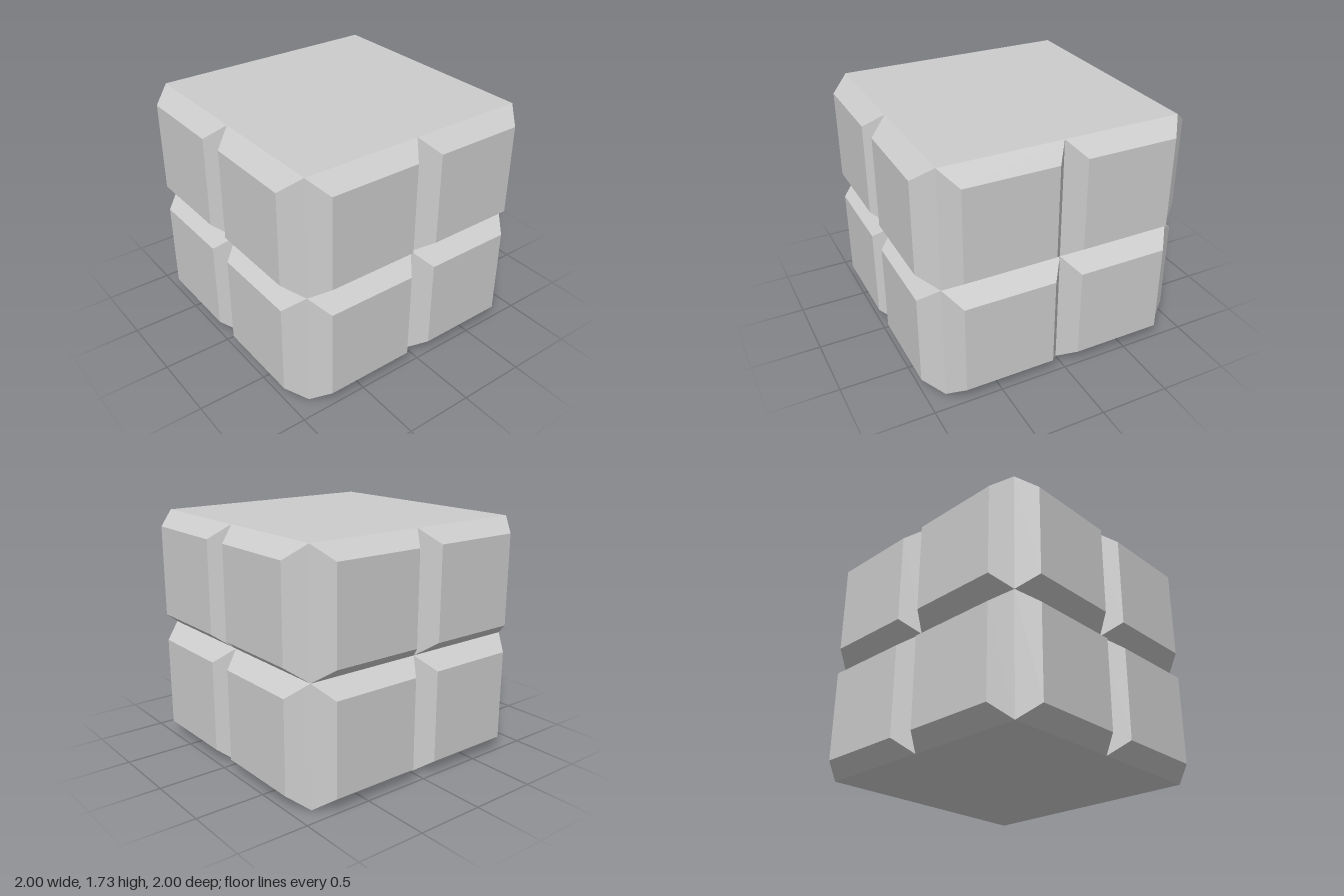
import * as THREE from 'three';

const HALF = 0.867;   // half width of the core block, also the width of one panel
const DEPTH = 0.133;  // how far a panel stands out
const BEVEL = 0.101;  // inset of a panel's flat face from its base edge

export function createModel() {
  const model = new THREE.Group();
  model.name = 'panelledBlock';
  const material = new THREE.MeshStandardMaterial({ color: 0xcccccc, flatShading: true });

  // Plain core block, flat on top and underneath
  const core = new THREE.Mesh(new THREE.BoxGeometry(2 * HALF, 2 * HALF, 2 * HALF), material);
  core.name = 'core';
  core.position.y = HALF;
  model.add(core);

  // Bevelled panel: a four-sided frustum with its base on z = 0, facing +z
  const panelGeometry = new THREE.CylinderGeometry(
    (HALF / 2 - BEVEL) * Math.SQRT2, (HALF / 2) * Math.SQRT2, DEPTH, 4);
  panelGeometry.rotateY(Math.PI / 4);
  panelGeometry.rotateX(Math.PI / 2);
  panelGeometry.translate(0, 0, DEPTH / 2);

  // Two by two panels on each of the four upright sides
  ['front', 'left', 'back', 'right'].forEach((sideName, i) => {
    const side = new THREE.Group();
    side.name = sideName + 'Panels';
    side.rotation.y = i * Math.PI / 2;
    for (const row of [0, 1]) {
      for (const column of [-1, 1]) {
        const panel = new THREE.Mesh(panelGeometry, material);
        panel.name = (row ? 'upper' : 'lower') + 'Panel';
        panel.position.set(column * HALF / 2, (row + 0.5) * HALF, HALF);
        side.add(panel);
      }
    }
    model.add(side);
  });

  return model;
}
